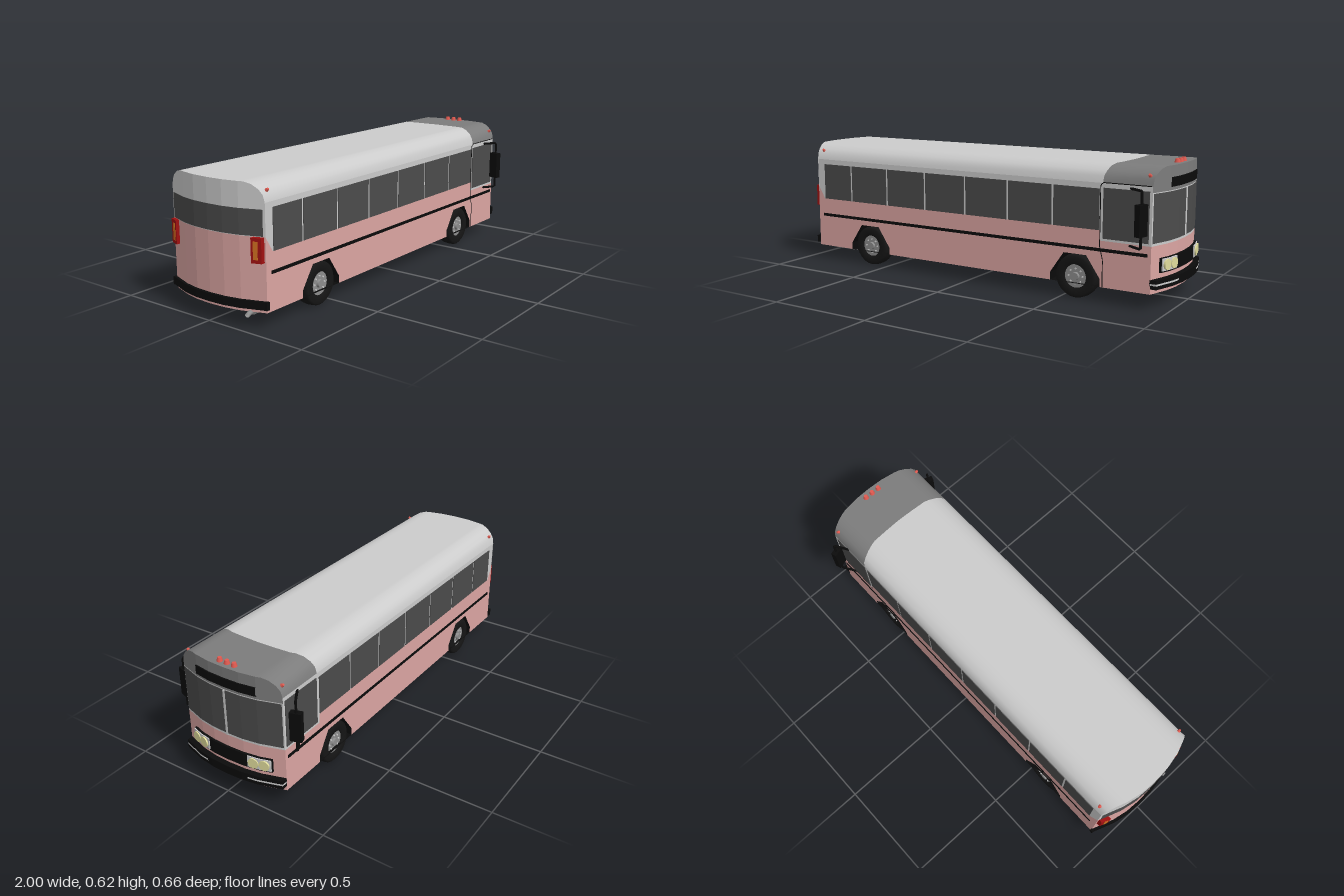
import * as THREE from 'three';

const mat = (color) => new THREE.MeshStandardMaterial({ color, side: THREE.DoubleSide });
const GREY = mat(0xcccccc), PINK = mat(0xdba5a2), HOOD = mat(0x7c7c7c), GLASS = mat(0x4b4b4b);
const BLACK = mat(0x0b0b0b), TYRE = mat(0x151515), RED = mat(0xe05a50), TAIL = mat(0xa01010);
const AMBER = mat(0xd07020), CREAM = mat(0xe0dc9c), STEEL = mat(0x8c8c8c);

const W = 0.264, FLOOR = 0.07;
// Tables over |z|: nose plan, tail plan, roof height, hood seam
const NOSE = [[0, 0.973], [0.08, 0.97], [0.157, 0.958], [W, 0.925]];
const REAR = [[0, -0.987], [0.08, -0.983], [0.157, -0.968], [W, -0.93]];
const ROOF = [[0, 0.605], [0.18, 0.605], [0.212, 0.596], [0.24, 0.577], [0.257, 0.555], [W, 0.525]];
const SEAM = [[0, 0.74], [0.15, 0.735], [W, 0.7]];
const WHEELS = [-0.588, 0.572];
const ARCH = [[-0.122, FLOOR], [-0.122, 0.105], [-0.055, 0.203], [0.055, 0.203], [0.122, 0.105], [0.122, FLOOR]];

function look(table, z) {
  const a = Math.min(Math.abs(z), W);
  let i = 1;
  while (i < table.length - 1 && table[i][0] < a) i++;
  const [p, q] = [table[i - 1], table[i]];
  return p[1] + (q[1] - p[1]) * (a - p[0]) / (q[0] - p[0]);
}

function add(parent, name, geometry, material, x = 0, y = 0, z = 0) {
  const mesh = new THREE.Mesh(geometry, material);
  mesh.name = name;
  mesh.position.set(x, y, z);
  parent.add(mesh);
  return mesh;
}

const box = (parent, name, m, x0, x1, y0, y1, z0, z1) =>
  add(parent, name, new THREE.BoxGeometry(x1 - x0, y1 - y0, z1 - z0), m, (x0 + x1) / 2, (y0 + y1) / 2, (z0 + z1) / 2);

const flatShape = (points) => new THREE.ShapeGeometry(new THREE.Shape(points.map(([x, y]) => new THREE.Vector2(x, y))));

// Surface through rows of [x, y, z] points
function loft(rows, flat) {
  const n = rows[0].length, index = [];
  for (let r = 0; r < rows.length - 1; r++) {
    for (let i = 0; i < n - 1; i++) {
      const a = r * n + i, b = a + n;
      index.push(a, a + 1, b, a + 1, b + 1, b);
    }
  }
  let g = new THREE.BufferGeometry();
  g.setAttribute('position', new THREE.Float32BufferAttribute(rows.flat(2), 3));
  g.setIndex(index);
  if (flat) g = g.toNonIndexed();
  g.computeVertexNormals();
  return g;
}

// Every z where the end walls or the roof bend, clipped to a range
function zSteps(z0, z1) {
  const bends = [...NOSE, ...ROOF].map((p) => p[0]);
  const all = [...bends, ...bends.map((z) => -z)].filter((z) => z > z0 + 1e-4 && z < z1 - 1e-4);
  return [...new Set([z0, ...all, z1])].sort((a, b) => a - b);
}

// Band wrapped round the nose or tail; off = how far it stands proud
function endBand(parent, name, m, plan, y0, y1, z0, z1, off = 0) {
  const s = plan === NOSE ? 1 : -1, zs = zSteps(z0, z1);
  const top = (z) => (y1 === 'roof' ? look(ROOF, z) : y1);
  const row = (d, h) => zs.map((z) => [look(plan, z) + s * d, h(z), z]);
  const rows = [row(off, () => y0), row(off, top)];
  if (off) {
    rows.unshift(row(-0.004, () => y0));
    rows.push(row(-0.004, top));
  }
  const mesh = add(parent, name, loft(rows, true), m);
  if (off > 0.01) {
    for (const i of [0, zs.length - 1]) {
      add(mesh, name + 'End', loft([[rows[0][i], rows[1][i]], [rows[3][i], rows[2][i]]], true), m);
    }
  }
}

// Everything on one flank, modelled on +z
function buildSide(hasDoor) {
  const g = new THREE.Group();
  g.name = hasDoor ? 'doorSide' : 'driverSide';
  const lower = [[-0.93, FLOOR]];
  for (const wx of WHEELS) lower.push(...ARCH.map(([x, y]) => [x + wx, y]));
  lower.push([0.925, FLOOR], [0.925, 0.275], [0.69, 0.275], [0.69, 0.32], [-0.89, 0.32], [-0.93, 0.385]);
  add(g, 'lowerWall', flatShape(lower), PINK, 0, 0, W);
  add(g, 'upperWall', flatShape([[-0.93, 0.27], [0.925, 0.27], [0.925, 0.525], [-0.93, 0.525]]), GREY, 0, 0, W - 0.002);

  // Row of windows
  const posts = [-0.89, -0.705, -0.474, -0.241, -0.008, 0.226, 0.458, 0.69];
  for (let i = 0; i < 7; i++) box(g, 'sideWindow', GLASS, posts[i] + 0.005, posts[i + 1] - 0.005, 0.32, 0.5, W - 0.01, W + 0.001);
  box(g, 'cabWindow', GLASS, 0.703, 0.912, 0.285, 0.505, W - 0.01, W + 0.001);
  box(g, 'trimStripe', BLACK, -0.9, 0.91, 0.228, 0.242, W - 0.01, W + 0.003);

  if (hasDoor) {
    const path = new THREE.CurvePath();
    const pts = [[0.92, 0.527], [0.7, 0.527], [0.69, 0.515], [0.69, 0.25], [0.705, 0.19], [0.705, FLOOR]]
      .map(([x, y]) => new THREE.Vector3(x, y, W));
    for (let i = 1; i < pts.length; i++) path.add(new THREE.LineCurve3(pts[i - 1], pts[i]));
    add(g, 'doorSeam', new THREE.TubeGeometry(path, 60, 0.002, 4), BLACK);
  }

  // Wheel wells and wheels
  for (const wx of WHEELS) {
    add(g, 'wheelWell', loft([W, 0.17].map((z) => ARCH.map(([x, y]) => [x + wx, y, z])), true), BLACK);
    add(g, 'wheelWellBack', flatShape(ARCH), BLACK, wx, 0, 0.17);
    const prof = [[0.05, -0.034], [0.088, -0.034], [0.097, -0.026], [0.1, 0], [0.097, 0.026], [0.088, 0.034], [0.055, 0.034], [0.053, 0.022]];
    const tyre = new THREE.LatheGeometry(prof.map(([r, h]) => new THREE.Vector2(r, h)), 24).rotateX(Math.PI / 2);
    add(g, 'tyre', tyre, TYRE, wx, 0.1, 0.227);
    add(g, 'wheelDisc', new THREE.CylinderGeometry(0.054, 0.054, 0.05, 20).rotateX(Math.PI / 2), STEEL, wx, 0.1, 0.226);
    add(g, 'wheelHub', new THREE.CylinderGeometry(0.016, 0.02, 0.014, 12).rotateX(Math.PI / 2), STEEL, wx, 0.1, 0.254);
    for (let i = 0; i < 8; i++) {
      const a = i * Math.PI / 4;
      add(g, 'wheelNut', new THREE.CylinderGeometry(0.004, 0.004, 0.006, 6).rotateX(Math.PI / 2), GREY,
        wx + 0.034 * Math.cos(a), 0.1 + 0.034 * Math.sin(a), 0.253);
    }
  }

  // Mirror on two bent arms
  const mirror = box(g, 'mirror', BLACK, 0.877, 0.905, 0.32, 0.455, 0.274, 0.326);
  mirror.rotation.y = -0.3;
  for (const [y, end] of [[0.511, 0.44], [0.267, 0.33]]) {
    const a = new THREE.Vector3(0.825, y, W - 0.005), b = new THREE.Vector3(0.893, y, 0.302), c = new THREE.Vector3(0.893, end, 0.302);
    const path = new THREE.CurvePath();
    path.add(new THREE.LineCurve3(a, b));
    path.add(new THREE.LineCurve3(b, c));
    add(g, 'mirrorArm', new THREE.TubeGeometry(path, 12, 0.006, 6), BLACK);
  }

  // Headlamps
  endBand(g, 'headlampHousing', GREY, NOSE, 0.163, 0.217, 0.105, 0.21, 0.016);
  for (const z of [0.134, 0.182]) {
    const lamp = add(g, 'headlamp', new THREE.CylinderGeometry(0.024, 0.024, 0.02, 20).rotateZ(-Math.PI / 2), CREAM, look(NOSE, z) + 0.012, 0.19, z);
    lamp.rotation.y = -0.2;
  }
  endBand(g, 'bumperStrip', GREY, NOSE, 0.109, 0.117, 0.11, W, 0.0275);

  // Tail lamps and corner marker lights
  endBand(g, 'tailLamp', TAIL, REAR, 0.28, 0.385, 0.215, 0.258, 0.018);
  endBand(g, 'tailIndicator', AMBER, REAR, 0.295, 0.37, 0.225, 0.243, 0.02);
  for (const x of [-0.9, 0.905]) {
    const lamp = add(g, 'cornerMarker', new THREE.CylinderGeometry(0.005, 0.009, 0.014, 10), RED, x, 0.571, 0.25);
    lamp.rotation.x = 0.9;
  }
  return g;
}

export function createModel() {
  const bus = new THREE.Group();
  bus.name = 'bus';
  const door = buildSide(true), driver = buildSide(false);
  driver.scale.z = -1;
  bus.add(door, driver);

  // Roof skins
  const zs = zSteps(-W, W);
  const edge = (plan) => zs.map((z) => [look(plan, z), look(ROOF, z), z]);
  add(bus, 'roof', loft([edge(REAR), edge(SEAM)]), GREY);
  add(bus, 'hoodRoof', loft([edge(SEAM), edge(NOSE)]), HOOD);

  // Floor
  const floor = (plan) => zs.map((z) => [look(plan, z), FLOOR, z]);
  add(bus, 'floor', loft([floor(REAR), floor(NOSE)]), BLACK);

  // Nose
  endBand(bus, 'nosePanel', PINK, NOSE, FLOOR, 0.275, -W, W);
  endBand(bus, 'windscreenSurround', GREY, NOSE, 0.275, 0.5, -W, W);
  endBand(bus, 'noseHood', HOOD, NOSE, 0.5, 'roof', -W, W);
  for (const s of [-1, 1]) endBand(bus, 'windscreen', GLASS, NOSE, 0.286, 0.496, s > 0 ? 0.005 : -0.26, s > 0 ? 0.26 : -0.005, 0.002);
  endBand(bus, 'windscreenPost', GREY, NOSE, 0.278, 0.497, -0.005, 0.005, 0.005);
  endBand(bus, 'destinationBoard', BLACK, NOSE, 0.515, 0.555, -0.158, 0.158, 0.006);
  endBand(bus, 'grille', BLACK, NOSE, 0.156, 0.219, -0.211, 0.211, 0.011);
  endBand(bus, 'frontBumper', BLACK, NOSE, 0.093, 0.133, -W, W, 0.027);

  // Tail
  endBand(bus, 'tailPanel', PINK, REAR, FLOOR, 0.385, -W, W);
  endBand(bus, 'tailTop', GREY, REAR, 0.385, 'roof', -W, W);
  endBand(bus, 'rearWindow', GLASS, REAR, 0.388, 0.497, -0.255, 0.255, 0.002);
  endBand(bus, 'rearBumper', BLACK, REAR, 0.085, 0.12, -0.274, 0.274, 0.013);

  // Roof lights
  for (const z of [-0.038, 0, 0.038]) add(bus, 'roofLight', new THREE.CylinderGeometry(0.009, 0.014, 0.018, 10), RED, 0.942, 0.613, z);

  // Exhaust
  const muffler = add(bus, 'muffler', new THREE.CylinderGeometry(0.02, 0.02, 0.17, 20).rotateZ(Math.PI / 2), STEEL, -0.835, 0.061, 0.165);
  muffler.scale.z = 1.6;
  const pipe = new THREE.CatmullRomCurve3([[-0.9, 0.066, 0.17], [-0.94, 0.068, 0.19], [-0.98, 0.062, 0.2]].map((p) => new THREE.Vector3(...p)));
  add(bus, 'exhaustPipe', new THREE.TubeGeometry(pipe, 10, 0.01, 10), STEEL);
  return bus;
}
